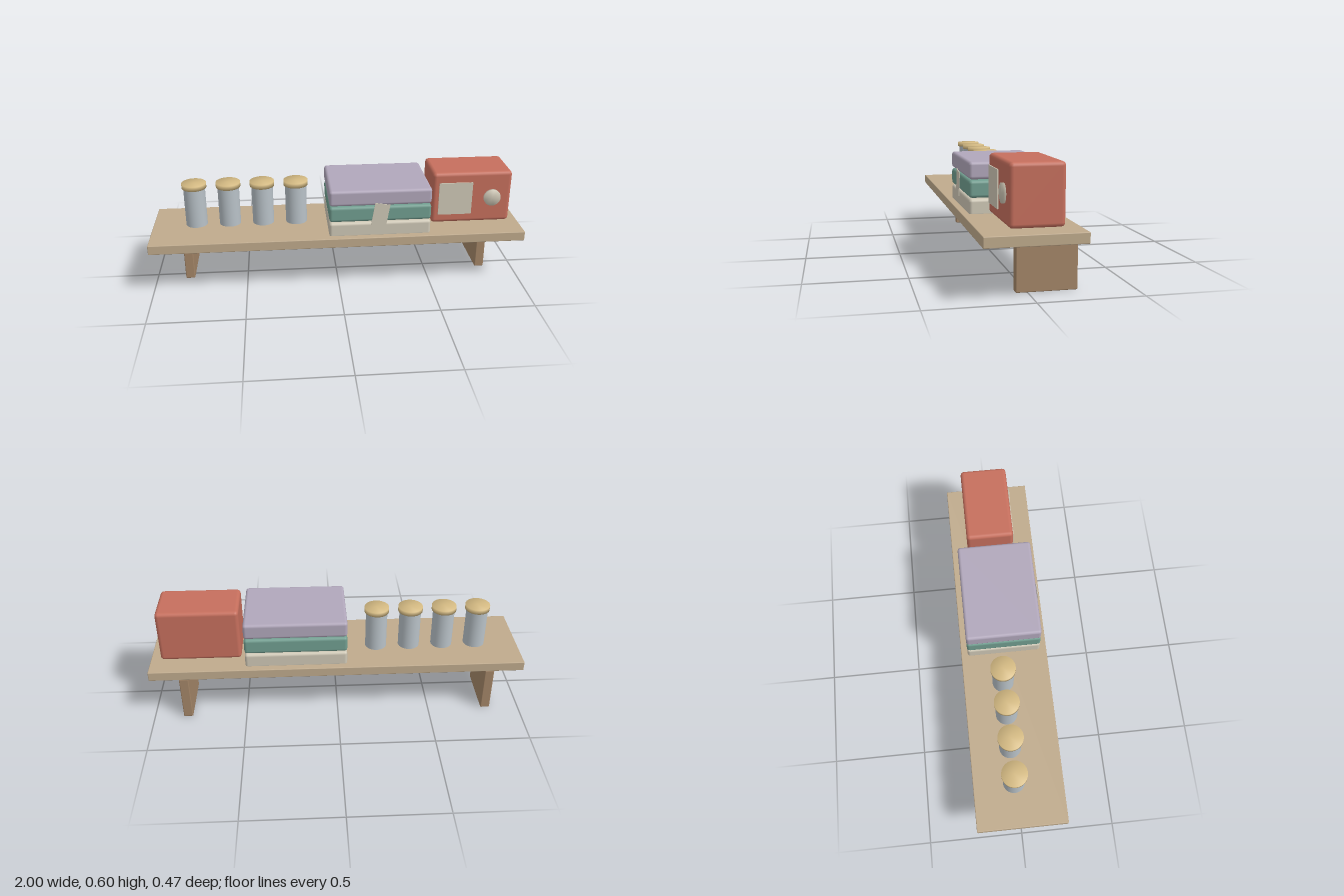
import * as THREE from 'three';
import { mergeVertices } from 'three/addons/utils/BufferGeometryUtils.js';
import { RoundedBoxGeometry } from 'three/addons/geometries/RoundedBoxGeometry.js';

const material = (name, color) => {
  const m = new THREE.MeshStandardMaterial({ color });
  m.name = name;
  return m;
};

// Cylinder whose caps share normals with its side, for a softly turned look
function softCylinder(radius, height) {
  const g = new THREE.CylinderGeometry(radius, radius, height, 32);
  g.deleteAttribute('normal');
  g.deleteAttribute('uv');
  const merged = mergeVertices(g);
  merged.computeVertexNormals();
  return merged;
}

export function createModel() {
  const wood = material('shelf wood', 0xbfaa8c);
  const darkWood = material('bracket wood', 0xa38567);
  const steel = material('jar grey', 0xb8c1c7);
  const gold = material('lid gold', 0xd3b982);
  const cream = material('cream', 0xcfc8b6);
  const green = material('green', 0x719e90);
  const lavender = material('lavender', 0xb1a7bb);
  const red = material('radio red', 0xc66f5d);

  const model = new THREE.Group();
  model.name = 'shelf with objects';

  const add = (parent, name, geometry, mat, x, y, z) => {
    const mesh = new THREE.Mesh(geometry, mat);
    mesh.name = name;
    mesh.position.set(x, y, z);
    parent.add(mesh);
    return mesh;
  };
  const box = (w, h, d, r, segments = 2) => new RoundedBoxGeometry(w, h, d, segments, r);

  // Board and its two brackets
  add(model, 'shelfBoard', box(2, 0.052, 0.472, 0.004), wood, 0, 0.274, 0);
  for (const side of [-1, 1]) {
    add(model, side > 0 ? 'leftBracket' : 'rightBracket',
      box(0.05, 0.25, 0.29, 0.005), darkWood, side * 0.818, 0.125, -0.09);
  }

  // Row of lidded jars
  const bodyGeometry = new THREE.CylinderGeometry(0.058, 0.058, 0.22, 32);
  const lidGeometry = softCylinder(0.066, 0.026);
  for (let i = 0; i < 4; i++) {
    const jar = new THREE.Group();
    jar.name = `jar${i + 1}`;
    jar.position.set(-0.765 + i * 0.182, 0.3, -0.022);
    add(jar, 'jarBody', bodyGeometry, steel, 0, 0.11, 0);
    add(jar, 'jarLid', lidGeometry, gold, 0, 0.228, 0);
    model.add(jar);
  }

  // Stack of folded linens with a tilted tag hanging in front
  const stack = new THREE.Group();
  stack.name = 'stack';
  model.add(stack);
  [cream, green, lavender].forEach((mat, i) => {
    add(stack, `stackLayer${i + 1}`, box(0.542, 0.086, 0.4, 0.016), mat, 0.219, 0.33 + i * 0.0905, 0);
  });
  const tag = add(stack, 'tag', new THREE.BoxGeometry(0.08, 0.126, 0.004), cream, 0.217, 0.42, 0.21);
  tag.rotation.z = -0.16;

  // Radio with speaker panel and dial
  const radio = new THREE.Group();
  radio.name = 'radio';
  model.add(radio);
  add(radio, 'radioCase', box(0.43, 0.288, 0.254, 0.02), red, 0.726, 0.457, -0.017);
  add(radio, 'speakerPanel', new THREE.BoxGeometry(0.182, 0.182, 0.008), cream, 0.636, 0.455, 0.112);
  const dial = add(radio, 'dial', softCylinder(0.046, 0.02), cream, 0.837, 0.456, 0.113);
  dial.rotation.x = Math.PI / 2;

  return model;
}
